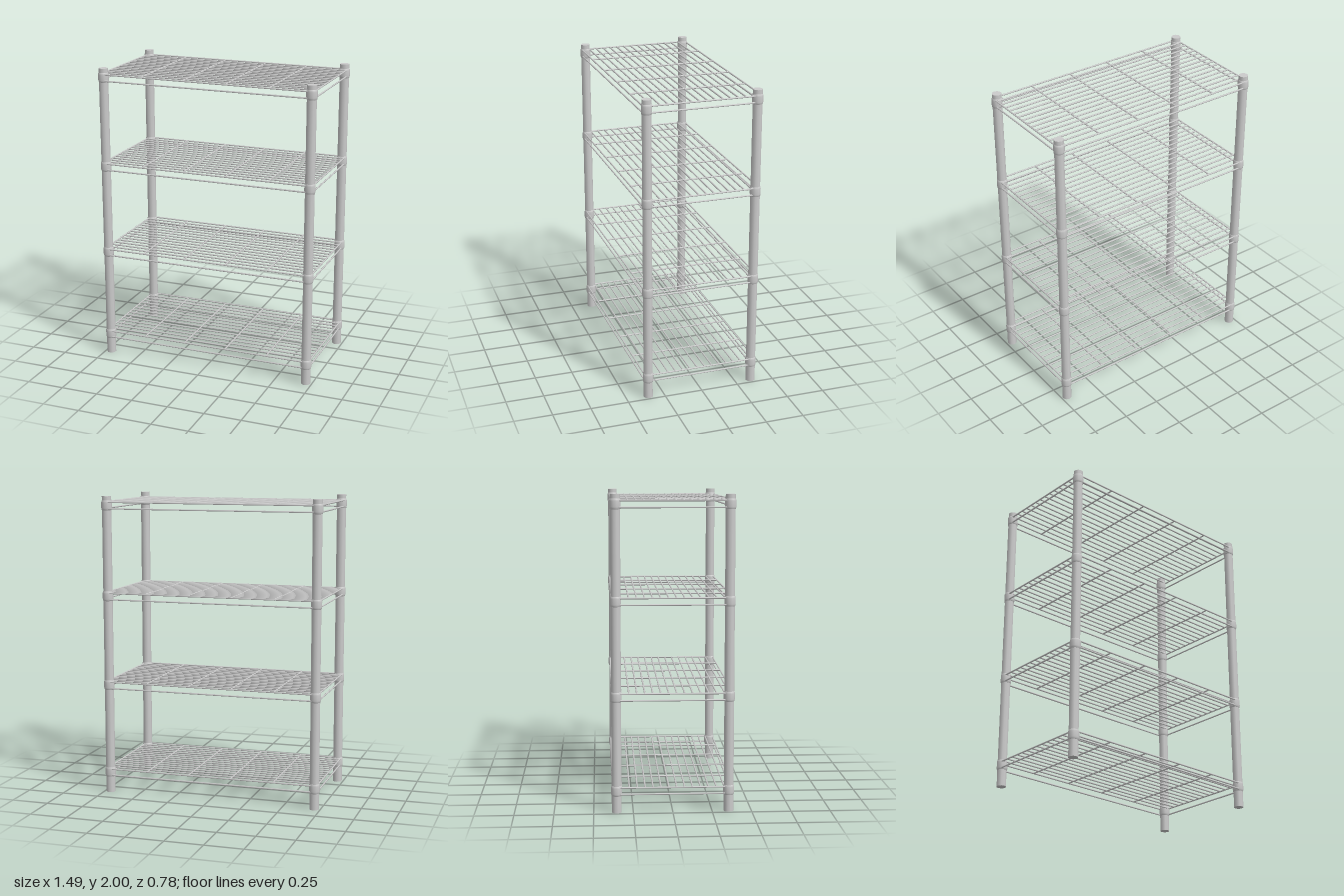
import * as THREE from 'three';

const material = new THREE.MeshStandardMaterial({ color: 0xcccccc });
const POST_X = 0.71, POST_Z = 0.355, WIRE = 0.0055;

export function createModel() {
  const model = new THREE.Group();
  model.name = 'wireShelvingUnit';

  function add(parent, name, geometry, x, y, z) {
    const mesh = new THREE.Mesh(geometry, material);
    mesh.name = name;
    mesh.position.set(x, y, z);
    parent.add(mesh);
  }

  // Wire geometries: long ones run along x, short ones along z
  const wireX = (length) => new THREE.CylinderGeometry(WIRE, WIRE, length, 6).rotateZ(Math.PI / 2);
  const wireZ = (length) => new THREE.CylinderGeometry(WIRE, WIRE, length, 6).rotateX(Math.PI / 2);
  const longRail = wireX(1.4), shortRail = wireZ(0.7);
  const deckWire = wireX(1.45), crossWire = wireZ(0.75);

  const post = new THREE.CylinderGeometry(0.031, 0.031, 2, 10);
  // Collar clamping a shelf to a post, with softened rims
  const collar = new THREE.LatheGeometry([
    [0.029, -0.034], [0.033, -0.03], [0.0355, -0.018],
    [0.0355, 0.018], [0.033, 0.03], [0.029, 0.034],
  ].map(([r, y]) => new THREE.Vector2(r, y)), 10);

  // Corner posts
  for (const x of [-POST_X, POST_X])
    for (const z of [-POST_Z, POST_Z]) add(model, 'post', post, x, 1, z);

  // Four identical shelves
  for (const y of [0.14, 0.74, 1.34, 1.94]) {
    const shelf = new THREE.Group();
    shelf.name = 'shelf';
    shelf.position.y = y;
    model.add(shelf);

    for (const side of [-1, 1]) {
      // Upper and lower rails of the frame
      for (const h of [-0.021, 0.021]) {
        add(shelf, 'longRail', longRail, 0, h, side * 0.379);
        add(shelf, 'shortRail', shortRail, side * 0.729, h, 0);
      }
      // Corner collars
      for (const end of [-1, 1]) add(shelf, 'collar', collar, side * POST_X, 0, end * POST_Z);
    }

    // Deck wires and the cross wires that carry them
    for (let i = 0; i < 14; i++) add(shelf, 'deckWire', deckWire, 0, 0.021, -0.325 + i * 0.05);
    for (const x of [-0.438, -0.146, 0.146, 0.438]) add(shelf, 'crossWire', crossWire, x, 0.02, 0);
  }
  return model;
}
